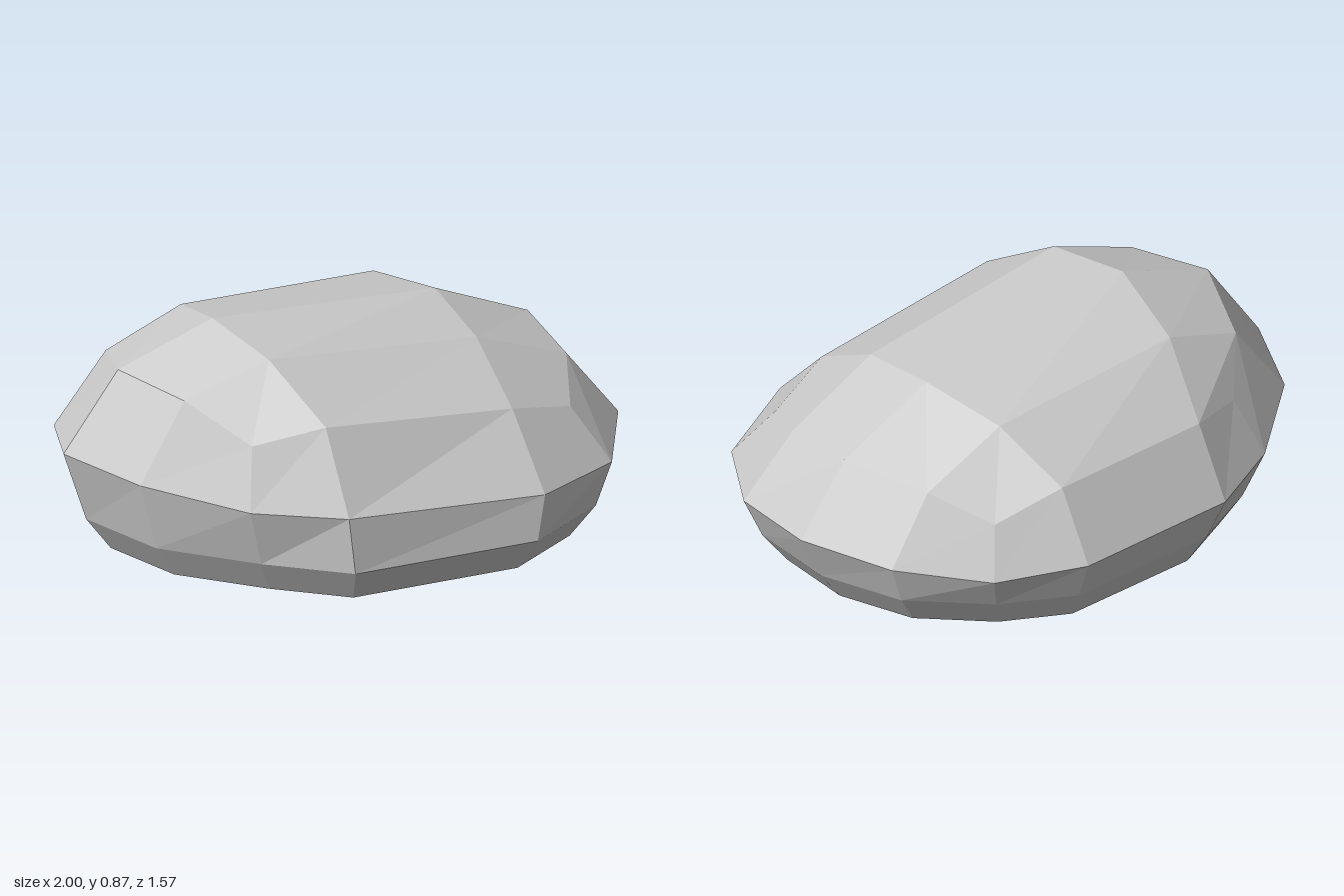
import * as THREE from 'three';

// Crown of the boulder: 5 rows from front to back, 4 points each from -x to +x
const crown = [
  [[-0.56, 0.60, 0.43], [-0.32, 0.66, 0.53], [0.42, 0.57, 0.54], [0.69, 0.49, 0.47]],
  [[-0.71, 0.72, 0.21], [-0.40, 0.83, 0.26], [0.43, 0.73, 0.26], [0.80, 0.575, 0.24]],
  [[-0.81, 0.74, -0.09], [-0.45, 0.87, -0.06], [0.44, 0.785, -0.06], [0.81, 0.615, -0.06]],
  [[-0.70, 0.67, -0.38], [-0.40, 0.78, -0.38], [0.37, 0.735, -0.38], [0.68, 0.575, -0.36]],
  [[-0.55, 0.54, -0.55], [-0.32, 0.585, -0.64], [0.30, 0.58, -0.64], [0.54, 0.485, -0.56]],
];

// Widest ring, from the front left corner round by the front and +x
const girdle = [
  [-0.61, 0.385, 0.51], [-0.32, 0.375, 0.70], [0.43, 0.325, 0.76], [0.79, 0.30, 0.59],
  [0.98, 0.33, 0.29], [1.00, 0.35, -0.05], [0.85, 0.325, -0.37],
  [0.60, 0.30, -0.63], [0.30, 0.325, -0.785], [-0.32, 0.33, -0.785], [-0.61, 0.34, -0.65],
  [-0.88, 0.40, -0.43], [-1.00, 0.435, -0.14], [-0.88, 0.425, 0.20],
];

// Ring of the lower flank, all at one height
const flank = [
  [-0.55, 0.48], [-0.30, 0.71], [0.39, 0.78], [0.71, 0.62],
  [0.91, 0.27], [0.91, -0.05], [0.79, -0.35],
  [0.55, -0.58], [0.29, -0.72], [-0.29, -0.72], [-0.55, -0.60],
  [-0.81, -0.40], [-0.91, -0.14], [-0.81, 0.19],
].map(([x, z]) => [x, 0.163, z]);

const shrink = (ring, s, y) => ring.map(([x, , z]) => [x * s, y, z * s]);

export function createModel() {
  const positions = [];
  const tri = (...pts) => pts.forEach((p) => positions.push(...p));
  const quad = (a, b, c, d) => { tri(a, b, c); tri(a, c, d); };

  // Crown faces
  for (let r = 0; r < 4; r++) {
    for (let c = 0; c < 3; c++) {
      quad(crown[r][c], crown[r][c + 1], crown[r + 1][c + 1], crown[r + 1][c]);
    }
  }

  // Bands from the rim of the crown down to the underside
  const rim = [
    ...crown[0],
    ...[1, 2, 3].map((r) => crown[r][3]),
    ...[...crown[4]].reverse(),
    ...[3, 2, 1].map((r) => crown[r][0]),
  ];
  const base = shrink(flank, 0.9, 0.036);
  const sole = shrink(flank, 0.44, 0);
  const rings = [rim, girdle, flank, base, sole];
  const n = rim.length;
  for (let k = 0; k < rings.length - 1; k++) {
    const upper = rings[k], lower = rings[k + 1];
    for (let i = 0; i < n; i++) {
      const j = (i + 1) % n;
      quad(lower[i], lower[j], upper[j], upper[i]);
    }
  }

  // Flat sole
  for (let i = 0; i < n; i++) tri([0, 0, 0], sole[(i + 1) % n], sole[i]);

  const geometry = new THREE.BufferGeometry();
  geometry.setAttribute('position', new THREE.Float32BufferAttribute(positions, 3));
  geometry.computeVertexNormals();

  const boulder = new THREE.Mesh(
    geometry,
    new THREE.MeshStandardMaterial({ color: 0xcccccc, flatShading: true }),
  );
  boulder.name = 'boulder';

  const group = new THREE.Group();
  group.name = 'rock';
  group.add(boulder);
  return group;
}
